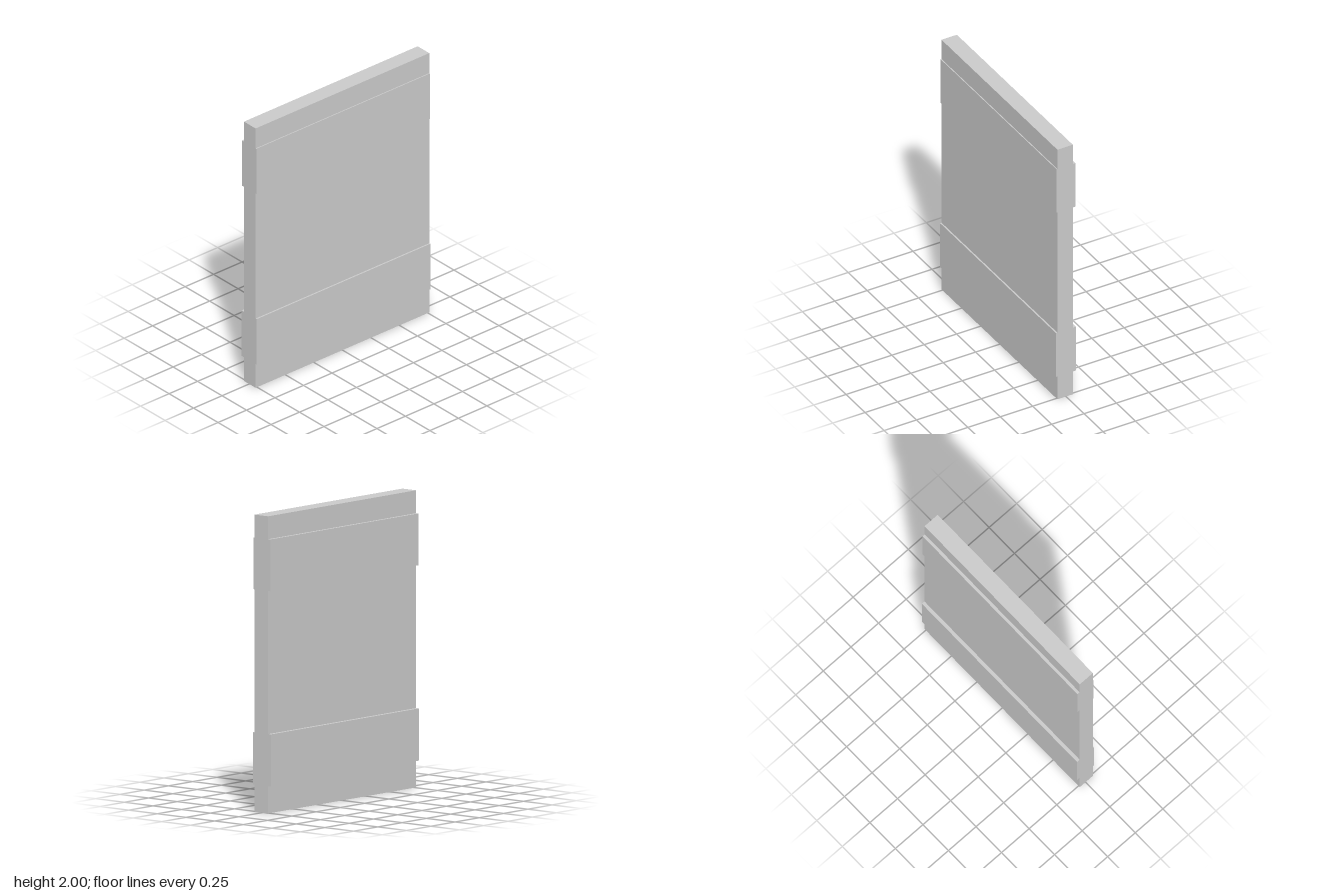
import * as THREE from 'three';

const WIDTH = 1.524, HEIGHT = 2;
const PANEL = { front: 0.066, back: -0.053 };
// Raised bands, bottom to top, standing proud of both faces
const BANDS = [
  { y0: 0.183, y1: 0.534, front: 0.077, back: -0.077 },
  { y0: 1.497, y1: 1.846, front: 0.073, back: -0.073 },
];

// Edge of one face from bottom to top, stepping out at each band
function faceEdge(side) {
  const points = [[PANEL[side], 0]];
  for (const b of BANDS) {
    points.push([PANEL[side], b.y0], [b[side], b.y0], [b[side], b.y1], [PANEL[side], b.y1]);
  }
  points.push([PANEL[side], HEIGHT]);
  return points.map(([z, y]) => new THREE.Vector2(z, y));
}

export function createModel() {
  const group = new THREE.Group();
  group.name = 'bandedPanel';

  // Side profile (z, y) swept across the width
  const profile = new THREE.Shape([...faceEdge('front'), ...faceEdge('back').reverse()]);
  const geometry = new THREE.ExtrudeGeometry(profile, { depth: WIDTH, bevelEnabled: false });
  geometry.translate(0, 0, -WIDTH / 2).rotateY(-Math.PI / 2);

  const panel = new THREE.Mesh(geometry, new THREE.MeshStandardMaterial({ color: 0xcccccc }));
  panel.name = 'panelWithBands';
  group.add(panel);
  return group;
}
